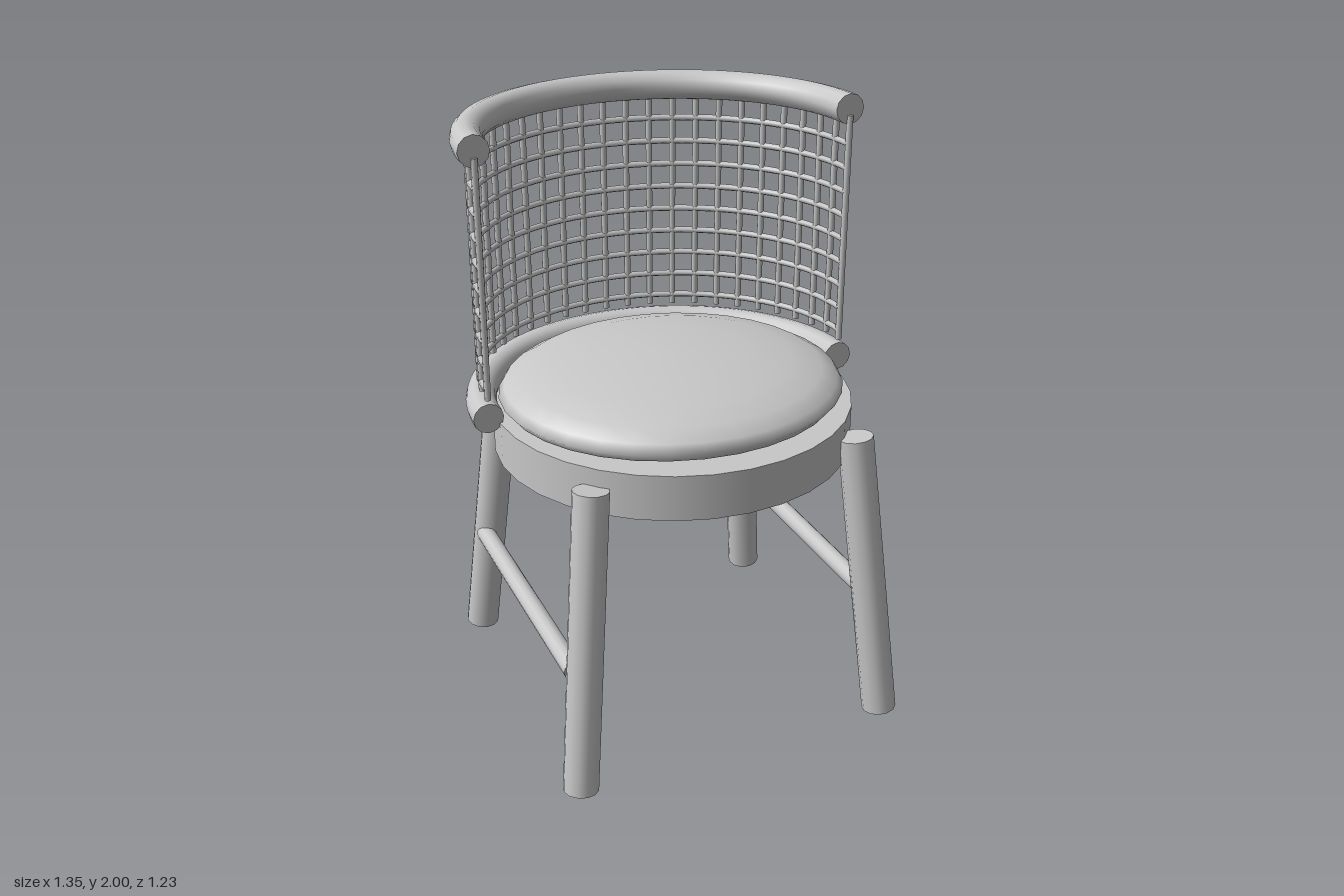
import * as THREE from 'three';

const material = new THREE.MeshStandardMaterial({ color: 0xc8c8c8 });
material.name = 'light grey';

const CZ = 0.027; // centre of seat and legs along z
const BACK = { x: 0.625, z: 0.585, cz: 0.02 }; // half ellipse of the backrest

function add(parent, name, geometry) {
  const mesh = new THREE.Mesh(geometry, material);
  mesh.name = name;
  parent.add(mesh);
  return mesh;
}

// Straight round bar between two points
function bar(parent, name, a, b, radius, sides) {
  const dir = b.clone().sub(a);
  const mesh = add(parent, name, new THREE.CylinderGeometry(radius, radius, dir.length(), sides));
  mesh.position.copy(a).add(b).multiplyScalar(0.5);
  mesh.quaternion.setFromUnitVectors(new THREE.Vector3(0, 1, 0), dir.normalize());
  return mesh;
}

// Point on the backrest curve, t from 0 (right end) to 1 (left end)
function backPoint(t, y) {
  const a = Math.PI * (1 - t);
  return new THREE.Vector3(BACK.x * Math.cos(a), y, BACK.cz - BACK.z * Math.sin(a));
}

class BackCurve extends THREE.Curve {
  constructor(y) {
    super();
    this.y = y;
  }
  getPoint(t, target = new THREE.Vector3()) {
    return target.copy(backPoint(t, this.y));
  }
}

// Curved bar along the backrest with flat ends
function hoop(parent, name, y, radius, sides) {
  const group = new THREE.Group();
  group.name = name;
  add(group, name + 'Bar', new THREE.TubeGeometry(new BackCurve(y), 48, radius, sides));
  for (const s of [-1, 1]) {
    const cap = add(group, name + 'End', new THREE.CircleGeometry(radius, sides));
    cap.position.set(s * BACK.x, y, BACK.cz);
  }
  parent.add(group);
}

export function createModel() {
  const model = new THREE.Group();
  model.name = 'chair';

  // Seat disc
  const seat = add(model, 'seat', new THREE.CylinderGeometry(0.59, 0.59, 0.15, 32));
  seat.position.set(0, 0.994, CZ);

  // Domed cushion
  const profile = [
    [0, 1.06], [0.5, 1.06], [0.55, 1.078], [0.572, 1.105], [0.553, 1.135],
    [0.5, 1.165], [0.4, 1.192], [0.25, 1.213], [0.1, 1.222], [0, 1.224],
  ].map(([r, y]) => new THREE.Vector2(r, y));
  const cushion = add(model, 'cushion', new THREE.LatheGeometry(profile, 32));
  cushion.scale.z = 0.92;
  cushion.position.z = 0.024;

  // Splayed legs and side stretchers
  for (const sx of [-1, 1]) {
    for (const sz of [-1, 1]) {
      bar(model, sz > 0 ? 'frontLeg' : 'backLeg',
        new THREE.Vector3(sx * 0.545, 0.008, CZ + sz * 0.53),
        new THREE.Vector3(sx * 0.45, 1.015, CZ + sz * 0.43), 0.058, 12);
    }
    bar(model, 'stretcher',
      new THREE.Vector3(sx * 0.533, 0.413, -0.437),
      new THREE.Vector3(sx * 0.533, 0.413, 0.49), 0.032, 12);
  }

  // Backrest rails
  hoop(model, 'topRail', 1.95, 0.05, 12);
  hoop(model, 'bottomRail', 1.09, 0.05, 12);

  // Woven lattice
  const lattice = new THREE.Group();
  lattice.name = 'lattice';
  model.add(lattice);
  for (let i = 0; i < 9; i++) hoop(lattice, 'horizontalCane', 1.836 - i * 0.081, 0.011, 6);
  for (let i = 0; i <= 24; i++) {
    bar(lattice, 'verticalCane', backPoint(i / 24, 1.155), backPoint(i / 24, 1.93), 0.011, 6);
  }

  return model;
}
